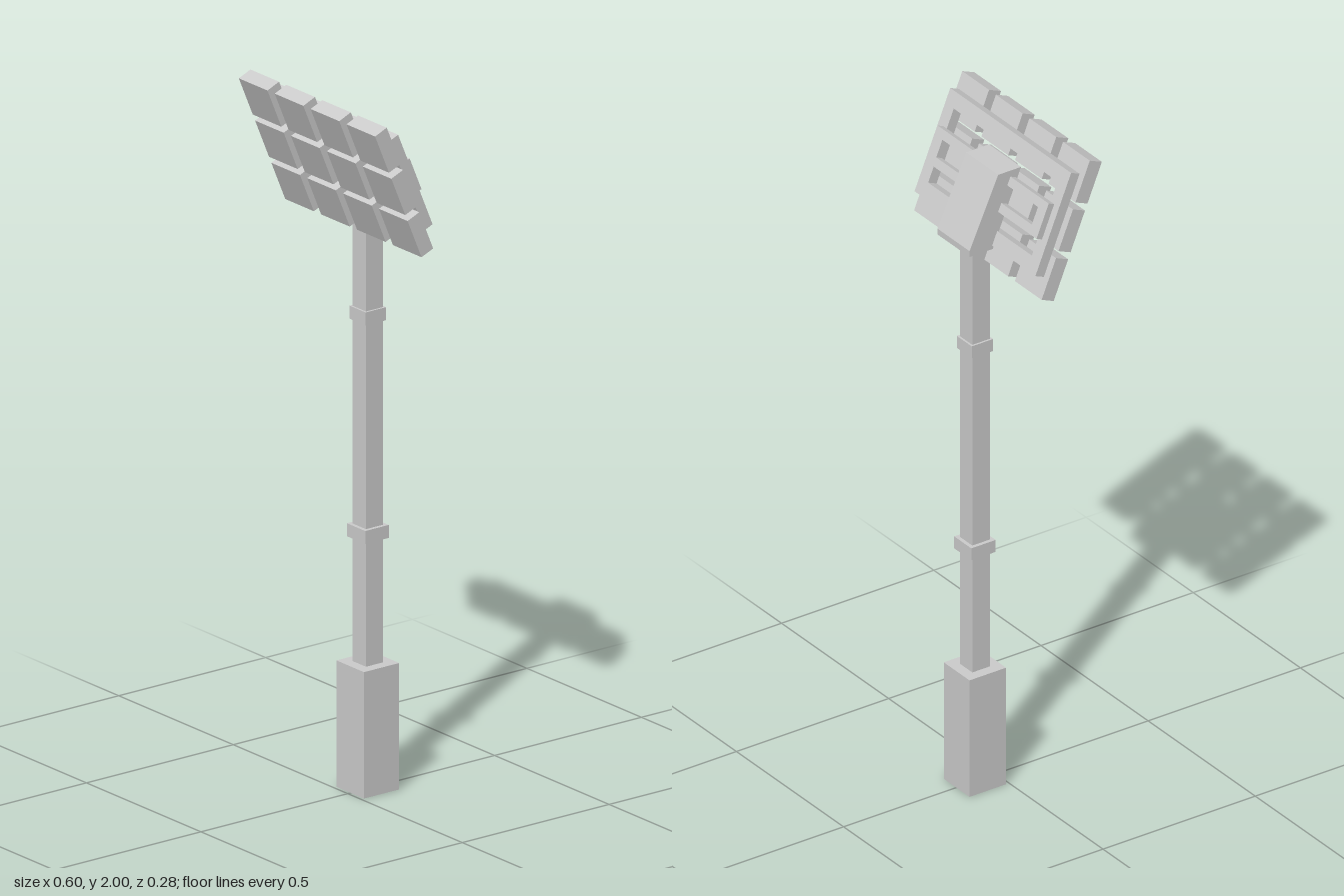
import * as THREE from 'three';

const material = new THREE.MeshStandardMaterial({ color: 0xcccccc, flatShading: true });

function add(parent, name, geometry, x = 0, y = 0, z = 0) {
  const mesh = new THREE.Mesh(geometry, material);
  mesh.name = name;
  mesh.position.set(x, y, z);
  parent.add(mesh);
  return mesh;
}

// Rectangular ring: outer size w x h, bar widths bx and by, depth along z
function ringGeometry(w, h, bx, by, depth) {
  const rect = (Type, a, b) => {
    const p = new Type();
    p.moveTo(-a, -b).lineTo(a, -b).lineTo(a, b).lineTo(-a, b).closePath();
    return p;
  };
  const shape = rect(THREE.Shape, w / 2, h / 2);
  shape.holes.push(rect(THREE.Path, w / 2 - bx, h / 2 - by));
  return new THREE.ExtrudeGeometry(shape, { depth, bevelEnabled: false });
}

export function createModel() {
  const model = new THREE.Group();
  model.name = 'floodlightMast';

  // Square footing, pole and two collars: [name, width, bottom, top]
  const poleZ = -0.07;
  const column = [
    ['footing', 0.12, 0, 0.36],
    ['pole', 0.058, 0.36, 1.69],
    ['lowerCollar', 0.08, 0.715, 0.752],
    ['upperCollar', 0.07, 1.335, 1.372],
  ];
  for (const [name, width, bottom, top] of column) {
    add(model, name, new THREE.BoxGeometry(width, top - bottom, width),
      -0.002, (bottom + top) / 2, poleZ);
  }

  // Lamp head, leaning forward; local y runs up the panel, local z is its normal
  const head = new THREE.Group();
  head.name = 'lampHead';
  head.position.set(0, 1.606, -0.02);
  head.rotation.x = 0.396;
  model.add(head);

  // Grid of lamps, 4 columns by 3 rows
  const lampW = 0.125, lampH = 0.123, lampD = 0.043;
  const lamp = new THREE.BoxGeometry(lampW, lampH, lampD);
  for (let row = 0; row < 3; row++) {
    for (let col = 0; col < 4; col++) {
      add(head, 'lamp', lamp,
        -0.001 + (col - 1.5) * 0.1567, lampH / 2 + row * 0.1435, -lampD / 2);
    }
  }

  // Carrier frame and the smaller frame behind it
  add(head, 'outerFrame', ringGeometry(0.564, 0.304, 0.04, 0.043, 0.03), 0.005, 0.21, -0.073);
  add(head, 'innerFrame', ringGeometry(0.518, 0.104, 0.036, 0.026, 0.0195), 0.005, 0.208, -0.0925);

  // Wedge-shaped mount joining the frames to the pole: (z, y) profile
  const profile = [[0.03, 1.9], [-0.045, 1.9], [-0.139, 1.695], [-0.139, 1.677], [-0.063, 1.677]];
  const wedge = new THREE.Shape(profile.map(([z, y]) => new THREE.Vector2(-z, y)));
  const mountGeometry = new THREE.ExtrudeGeometry(wedge, { depth: 0.15, bevelEnabled: false });
  mountGeometry.translate(0, 0, -0.075).rotateY(Math.PI / 2);
  add(model, 'mount', mountGeometry);

  return model;
}
